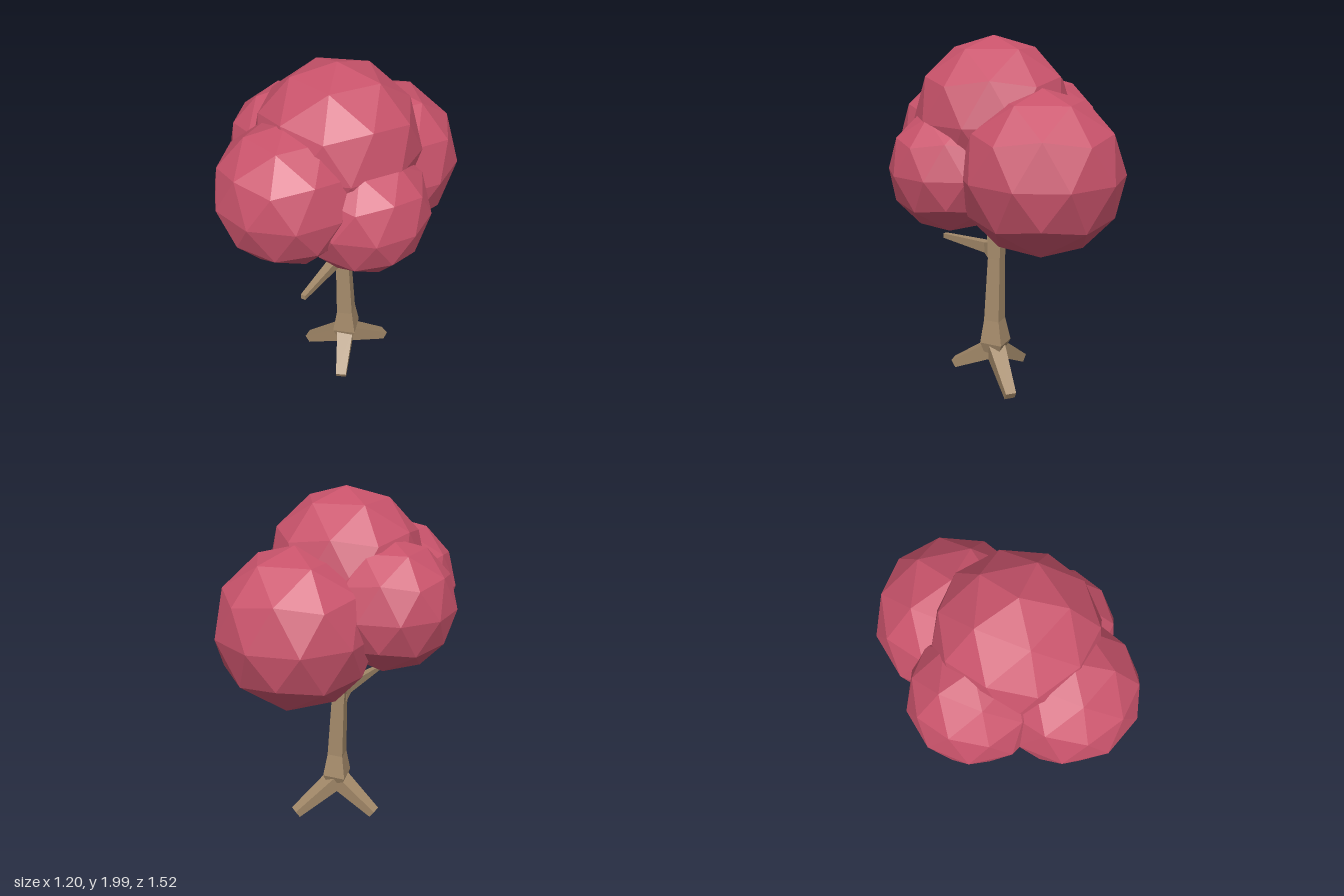
import * as THREE from 'three';

const bark = new THREE.MeshStandardMaterial({ color: 0xa48a6a });
bark.name = 'bark';
bark.flatShading = true;
const leaf = new THREE.MeshStandardMaterial({ color: 0xc9536b });
leaf.name = 'leaves';
leaf.flatShading = true;

// Four-sided limb through rings [x, y, z, width, height]; ref sets the roll
function limb(name, rings, ref) {
  const first = new THREE.Vector3(...rings[0]);
  const last = new THREE.Vector3(...rings[rings.length - 1]);
  const dir = last.sub(first).normalize();
  const u = new THREE.Vector3().crossVectors(ref, dir).normalize();
  const v = new THREE.Vector3().crossVectors(dir, u);
  const corners = [[1, 1], [-1, 1], [-1, -1], [1, -1]];
  const loops = rings.map(([x, y, z, w, h]) => corners.map(([a, b]) =>
    new THREE.Vector3(x, y, z).addScaledVector(u, a * w / 2).addScaledVector(v, b * h / 2)));
  const pos = [];
  const quad = (a, b, c, d) => [a, b, c, a, c, d].forEach(p => pos.push(p.x, p.y, p.z));
  for (let r = 0; r < loops.length - 1; r++) {
    for (let i = 0; i < 4; i++) {
      const j = (i + 1) % 4;
      quad(loops[r][i], loops[r][j], loops[r + 1][j], loops[r + 1][i]);
    }
  }
  const [s, e] = [loops[0], loops[loops.length - 1]];
  quad(s[3], s[2], s[1], s[0]);
  quad(e[0], e[1], e[2], e[3]);
  const geo = new THREE.BufferGeometry();
  geo.setAttribute('position', new THREE.Float32BufferAttribute(pos, 3));
  geo.computeVertexNormals();
  const mesh = new THREE.Mesh(geo, bark);
  mesh.name = name;
  return mesh;
}

// Icosphere standing on one vertex, with an upper-ring vertex on +x
function icosphere(radius) {
  const verts = [0, 1, 0];
  const faces = [];
  const y = 1 / Math.sqrt(5), rad = 2 * y;
  for (const [sign, shift] of [[1, 0], [-1, 0.5]]) {
    for (let i = 0; i < 5; i++) {
      const a = (i + shift) * Math.PI * 0.4;
      verts.push(rad * Math.cos(a), sign * y, -rad * Math.sin(a));
    }
  }
  verts.push(0, -1, 0);
  for (let i = 0; i < 5; i++) {
    const j = (i + 1) % 5;
    faces.push(0, 1 + i, 1 + j, 1 + i, 6 + i, 1 + j, 1 + j, 6 + i, 6 + j, 11, 6 + j, 6 + i);
  }
  const geo = new THREE.PolyhedronGeometry(verts, faces, radius, 1);
  geo.computeVertexNormals();
  return geo;
}

export function createModel() {
  const tree = new THREE.Group();
  tree.name = 'tree';
  const up = new THREE.Vector3(0, 1, 0);

  // Trunk, flared at the foot and leaning slightly
  tree.add(limb('trunk', [
    [0.105, 0.165, 0.025, 0.08, 0.08],
    [0.1, 0.25, 0.02, 0.135, 0.135],
    [0.1, 0.39, 0.025, 0.093, 0.093],
    [0.08, 0.76, 0.025, 0.075, 0.075],
    [0.065, 1.0, 0.035, 0.085, 0.085],
    [0.045, 1.3, 0.04, 0.08, 0.08],
  ], new THREE.Vector3(Math.sin(0.25), 0, Math.cos(0.25))));

  // Three roots
  const roots = [
    ['rightRoot', [-0.16, 0.035, 0.03]],
    ['frontRoot', [0.19, 0.07, 0.265]],
    ['backRoot', [0.255, 0.038, -0.215]],
  ];
  for (const [name, end] of roots) {
    tree.add(limb(name, [[0.1, 0.21, 0.025, 0.1, 0.1], [...end, 0.06, 0.05]], up));
  }

  // Bare side branch
  tree.add(limb('branch', [
    [0.078, 0.805, 0.04, 0.08, 0.11],
    [0.07, 0.812, 0.1, 0.055, 0.062],
    [0.052, 0.806, 0.455, 0.028, 0.028],
  ], up));

  // Leaf clumps: name, centre, radius
  const clumps = [
    ['topLeaves', 0.05, 1.56, 0.06, 0.44],
    ['backLeaves', 0.13, 1.31, -0.32, 0.44],
    ['frontLeaves', -0.06, 1.41, 0.38, 0.38],
    ['rightLeaves', -0.265, 1.42, -0.03, 0.355],
    ['leftLeaves', 0.265, 1.295, 0.18, 0.35],
  ];
  for (const [name, x, y, z, r] of clumps) {
    const mesh = new THREE.Mesh(icosphere(r), leaf);
    mesh.name = name;
    mesh.position.set(x, y, z);
    tree.add(mesh);
  }
  return tree;
}
